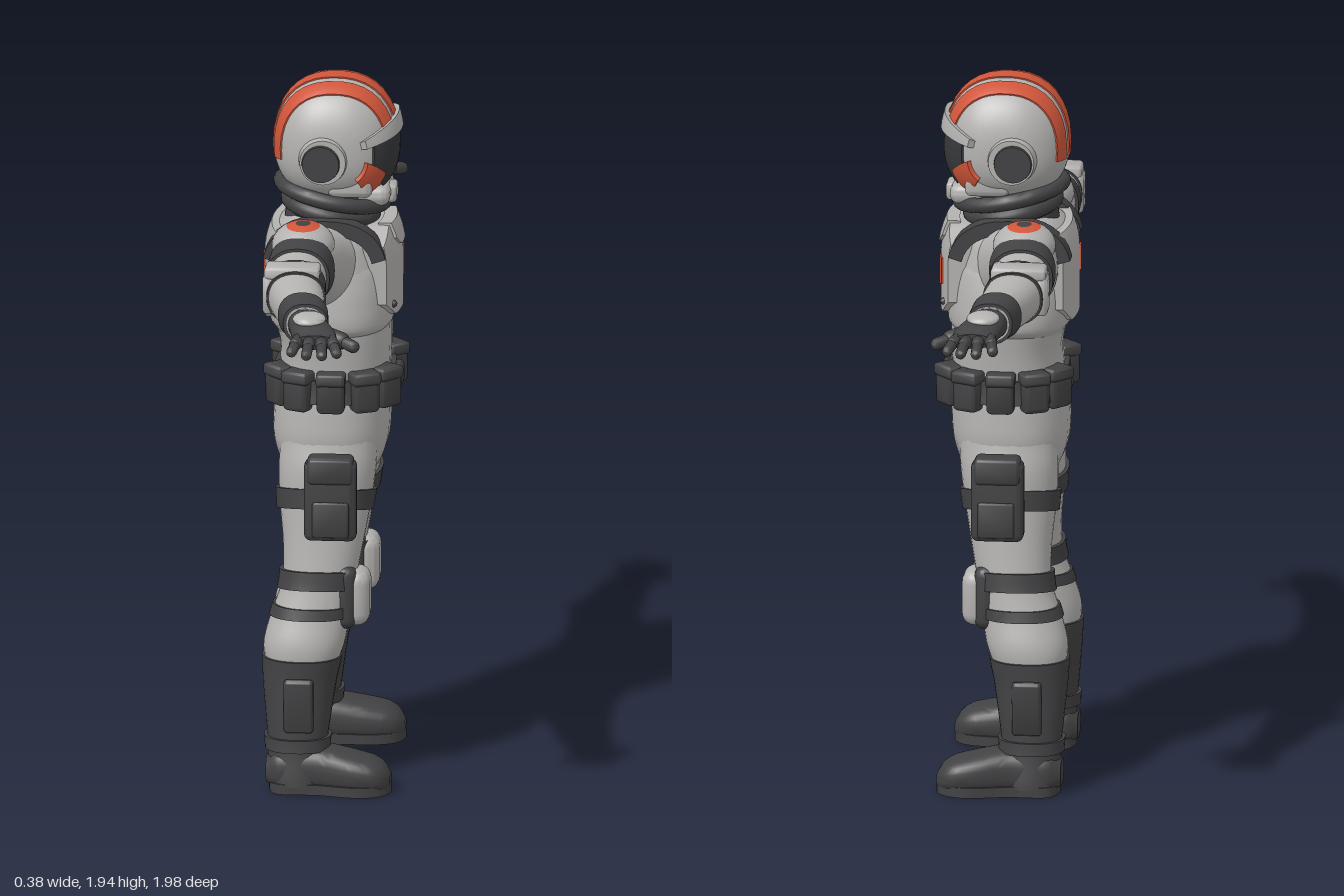
import * as THREE from 'three';
import { mergeVertices, toCreasedNormals } from 'three/addons/utils/BufferGeometryUtils.js';
import { RoundedBoxGeometry } from 'three/addons/geometries/RoundedBoxGeometry.js';

const material = (name, color) => Object.assign(new THREE.MeshStandardMaterial({ color }), { name });
const lerp = THREE.MathUtils.lerp;
const spow = (c, p) => Math.sign(c) * Math.abs(c) ** (2 / p);

// Closed skin through loops: fn(u, j) gives point j of the loop at u; ends are capped
function skin(fn, nu, n) {
  const pos = [], idx = [];
  const quad = (a, b, c, d) => idx.push(a, b, c, a, c, d);
  for (let i = 0; i <= nu; i++) for (let j = 0; j < n; j++) pos.push(...fn(i / nu, j));
  for (let i = 0; i < nu; i++) for (let j = 0; j < n; j++) {
    const k = (j + 1) % n;
    quad(i * n + j, i * n + k, (i + 1) * n + k, (i + 1) * n + j);
  }
  const e = nu * n;
  for (let j = 0; j < n / 2 - 1; j++) {
    quad(n - 1 - j, n - 2 - j, j + 1, j);
    quad(e + j, e + j + 1, e + n - 2 - j, e + n - 1 - j);
  }
  const g = new THREE.BufferGeometry();
  g.setAttribute('position', new THREE.Float32BufferAttribute(pos, 3));
  g.setIndex(idx);
  // turn the faces outward
  let vol = 0;
  const at = (i) => new THREE.Vector3().fromArray(pos, i * 3), o = at(0);
  for (let i = 0; i < idx.length; i += 3) {
    const [a, b, c] = [0, 1, 2].map((k) => at(idx[i + k]).sub(o));
    vol += a.dot(b.cross(c));
  }
  if (vol < 0) idx.reverse();
  g.setIndex(idx);
  return g;
}

// Smooth value of rows [t, c1, c2, r1, r2] at t
function sample(rows, t) {
  let i = 0;
  while (i < rows.length - 2 && t > rows[i + 1][0]) i++;
  const [a, b, c, d] = [rows[Math.max(i - 1, 0)], rows[i], rows[i + 1], rows[Math.min(i + 2, rows.length - 1)]];
  const f = THREE.MathUtils.clamp((t - b[0]) / (c[0] - b[0]), 0, 1);
  return b.map((v, k) => v + 0.5 * f * (c[k] - a[k] + f * (2 * a[k] - 5 * v + 4 * c[k] - d[k] + f * (3 * (v - c[k]) + d[k] - a[k]))));
}

// Limb or band along an axis, optionally swollen and tilted
function tube(axis, rows, t0, t1, { grow = 0, tilt = 0, p = 2.25, nu = 28 } = {}) {
  const n = 36;
  return skin((u, j) => {
    const w = (j / n) * Math.PI * 2, t = lerp(t0, t1, u), s = sample(rows, t);
    const a = s[1] + (s[3] + grow) * spow(Math.cos(w), p), b = s[2] + (s[4] + grow) * spow(Math.sin(w), p);
    const q = t + tilt * Math.sin(w);
    return axis === 'y' ? [a, q, b] : axis === 'z' ? [a, b, q] : [q, a, b];
  }, nu, n);
}

// Plate lying on surf(u, v, offset); the v limits may depend on u
function plate(surf, u0, u1, v0, v1, out, inn = -0.02) {
  const m = 16, val = (v, u) => (typeof v === 'function' ? v(u) : v);
  return skin((f, j) => {
    const u = lerp(u0, u1, f), k = j <= m ? j : 2 * m + 1 - j;
    return surf(u, lerp(val(v0, u), val(v1, u), k / m), j <= m ? out : inn);
  }, 20, 2 * m + 2);
}

function capsule(a, b, r) {
  const A = new THREE.Vector3(...a), d = new THREE.Vector3(...b).sub(A);
  const g = new THREE.CapsuleGeometry(r, d.length(), 5, 12);
  g.applyQuaternion(new THREE.Quaternion().setFromUnitVectors(new THREE.Vector3(0, 1, 0), d.clone().normalize()));
  return g.translate(...A.addScaledVector(d, 0.5).toArray());
}
const box = (x, y, z, w, h, d, r = 0.015) => new RoundedBoxGeometry(w, h, d, 3, r).translate(x, y, z);

export function createModel() {
  const root = new THREE.Group();
  root.name = 'spaceTrooper';
  const light = material('suitGrey', 0xb3b2b0), dark = material('gearDark', 0x424244);
  const orange = material('markingOrange', 0xd0553a), glass = material('visorDark', 0x37383a);

  function add(name, geo, mat, both = false) {
    for (const s of both ? [1, -1] : [1]) {
      let g = geo.clone();
      g.deleteAttribute('uv'); g.deleteAttribute('normal');
      g = mergeVertices(g, 1e-5);
      if (s < 0) { g.scale(1, 1, -1); g.setIndex(Array.from(g.index.array).reverse()); }
      // the body stands slightly off the middle of the arm span
      const p = g.attributes.position;
      for (let i = 0; i < p.count; i++) p.setZ(i, p.getZ(i) + 0.013 * (1 - Math.abs(p.getZ(i))));
      const mesh = new THREE.Mesh(toCreasedNormals(g, 0.8), mat);
      mesh.name = name;
      root.add(mesh);
    }
  }

  // Helmet
  const helm = (z, a, s) => {
    const k = Math.max(0, 1 - Math.abs(z / 0.158) ** 2.4) ** (1 / 2.4);
    return [(0.167 * k + s) * spow(Math.cos(a), 2.3), 1.745 + ((Math.sin(a) > 0 ? 0.19 : 0.15) * k + s) * spow(Math.sin(a), 2.3), z * (1 + s * 4)];
  };
  add('helmetShell', skin((u, j) => helm(-0.158 * Math.cos(Math.PI * u), (j / 48) * Math.PI * 2, 0), 40, 48), light);
  add('helmetCentreStripe', plate(helm, -0.03, 0.03, 0.42, 3.28, 0.004), orange);
  add('helmetSideStripe', plate(helm, 0.055, 0.1, 0.42, 3.28, 0.004), orange, true);
  const visorLow = (z) => -0.78 + 0.35 * (z / 0.13) ** 2;
  add('visor', plate(helm, -0.132, 0.132, visorLow, 0.22, 0.005), glass);
  add('visorBrow', plate(helm, -0.146, 0.146, 0.2, 0.42, 0.016), light);
  add('visorCornerMark', plate(helm, 0.1, 0.143, (z) => visorLow(z) - 0.5, (z) => visorLow(z) + 0.22, 0.009), orange, true);
  add('earHousing', new THREE.CylinderGeometry(0.062, 0.072, 0.06, 32).rotateX(Math.PI / 2).translate(-0.025, 1.735, 0.143), light, true);
  add('earDisc', new THREE.CylinderGeometry(0.05, 0.052, 0.012, 32).rotateX(Math.PI / 2).translate(-0.03, 1.732, 0.177), dark, true);
  add('cheek', box(0.045, 1.655, 0.115, 0.12, 0.06, 0.04, 0.018).rotateY(0), light, true);
  add('chinGuard', box(0.105, 1.618, 0, 0.09, 0.055, 0.19, 0.025), light);
  add('chinVent', box(0.14, 1.612, 0, 0.05, 0.05, 0.075, 0.012), light);

  // Neck rings
  const ring = (x, y, rx, rz, t) => new THREE.TorusGeometry(1, t, 14, 48).rotateX(Math.PI / 2)
    .scale(rx, 0.14, rz).rotateZ(-0.2).translate(x, y, 0);
  add('helmetCollar', ring(-0.01, 1.612, 0.142, 0.132, 0.15), dark);
  add('neckRing', ring(-0.015, 1.572, 0.118, 0.125, 0.17), dark);
  add('neck', new THREE.CylinderGeometry(0.115, 0.13, 0.13, 32).translate(-0.015, 1.56, 0), dark);

  // Torso
  const torso = [[0.8, -0.01, 0, 0.06, 0.04], [0.85, -0.012, 0, 0.125, 0.15], [0.93, -0.012, 0, 0.155, 0.2], [1.03, -0.008, 0, 0.158, 0.2],
    [1.12, -0.003, 0, 0.15, 0.19], [1.2, 0, 0, 0.15, 0.195], [1.28, -0.01, 0, 0.16, 0.205], [1.38, -0.015, 0, 0.172, 0.205],
    [1.46, -0.02, 0, 0.165, 0.195], [1.52, -0.02, 0, 0.145, 0.18], [1.56, -0.02, 0, 0.1, 0.13]];
  add('torso', tube('y', torso, 0.8, 1.56, { p: 2.5, nu: 40 }), light);
  const vest = [[1.24, -0.01, 0, 0.15, 0.19], [1.27, -0.01, 0, 0.168, 0.222], [1.34, -0.013, 0, 0.175, 0.218], [1.42, -0.015, 0, 0.174, 0.2], [1.49, -0.02, 0, 0.155, 0.18]];
  add('ribArmour', tube('y', vest, 1.24, 1.49, { p: 2.5 }), light);
  const front = (z, y, s) => [0.172 - 1.3 * z * z - 2.2 * Math.max(0, y - 1.44) ** 2 + s, y, z];
  add('chestPlate', plate(front, -0.16, 0.16, (z) => 1.295 + Math.max(0, Math.abs(z) - 0.1) * 0.7, (z) => 1.54 - Math.max(0, Math.abs(z) - 0.09) * 0.6, 0.008, -0.05), light);
  add('chestTopPlate', plate(front, -0.085, 0.085, (z) => 1.48 + Math.max(0, Math.abs(z) - 0.055) * 0.8, 1.545, 0.016), light);
  add('chestMark', plate(front, -0.108, -0.06, (z) => 1.36 - (z + 0.06) * 0.3, 1.445, 0.012, 0.004), orange);
  add('chestStud', new THREE.SphereGeometry(0.01, 12, 8).translate(0.163, 1.328, 0.115), dark, true);
  const back = (z, y, s) => [-0.185 + 1.0 * z * z + 3 * Math.max(0, y - 1.45) ** 2 - s, y, z];
  add('backPlate', plate(back, -0.165, 0.165, (z) => 1.28 + Math.max(0, Math.abs(z) - 0.1) * 0.7, 1.53, 0.008, -0.05), light);
  add('backMark', plate(back, 0.045, 0.07, 1.38, 1.45, 0.012, 0.004), orange);
  const over = (z, a, s) => [-0.02 + (0.162 + s) * spow(Math.cos(a), 2.4), 1.42 + (0.145 + s) * spow(Math.sin(a), 2.4), z];
  add('shoulderStrap', plate(over, 0.122, 0.178, 0.25, 2.9, 0.008, -0.03), dark, true);

  // Belt with pouches
  add('belt', tube('y', torso, 1.065, 1.13, { grow: 0.014, p: 2.5, nu: 4 }), dark);
  add('buckle', box(0.165, 1.095, 0, 0.03, 0.065, 0.11), dark);
  for (const deg of [32, 62, 90, 118, 148]) {
    const a = (deg * Math.PI) / 180, x = 0.162 * spow(Math.cos(a), 2.5), z = 0.203 * spow(Math.sin(a), 2.5);
    const turn = Math.atan2(x, z);
    add('beltPouch', box(0, 0, 0, 0.075, 0.108, 0.06).rotateY(turn).translate(x, 1.098, z), dark, true);
    add('pouchFlap', box(0, 0, 0, 0.08, 0.035, 0.066, 0.01).rotateY(turn).translate(x, 1.138, z), dark, true);
  }

  // Legs
  const leg = [[0.33, -0.08, 0.198, 0.095, 0.09], [0.4, -0.072, 0.195, 0.11, 0.096], [0.48, -0.055, 0.18, 0.106, 0.09], [0.56, -0.035, 0.165, 0.1, 0.088],
    [0.66, -0.025, 0.145, 0.108, 0.094], [0.78, -0.02, 0.12, 0.124, 0.106], [0.88, -0.015, 0.112, 0.132, 0.108], [0.97, -0.01, 0.105, 0.13, 0.095]];
  add('leg', tube('y', leg, 0.33, 0.97, { nu: 32 }), light, true);
  add('thighStrap', tube('y', leg, 0.755, 0.81, { grow: 0.01, tilt: 0.025, nu: 4 }), dark, true);
  add('holster', box(0.003, 0.815, 0.255, 0.142, 0.225, 0.065, 0.02).rotateZ(0), dark, true);
  add('holsterFlap', box(0.003, 0.9, 0.258, 0.125, 0.075, 0.072, 0.015), dark, true);
  add('holsterPocket', box(0.005, 0.765, 0.285, 0.1, 0.1, 0.02, 0.009), dark, true);
  add('kneeStrap', tube('y', leg, 0.545, 0.595, { grow: 0.01, tilt: 0.012, nu: 4 }), dark, true);
  add('lowerKneeStrap', tube('y', leg, 0.475, 0.505, { grow: 0.006, nu: 4 }), dark, true);
  add('kneeBacking', box(0.04, 0.53, 0.17, 0.06, 0.175, 0.145, 0.028), dark, true);
  add('kneePad', box(0.068, 0.525, 0.172, 0.075, 0.155, 0.122, 0.036).rotateZ(0), light, true);

  // Boots
  const boot = [[0.02, -0.085, 0.243, 0.083, 0.078], [0.12, -0.087, 0.235, 0.08, 0.074], [0.2, -0.086, 0.222, 0.088, 0.083],
    [0.3, -0.083, 0.205, 0.1, 0.095], [0.365, -0.078, 0.197, 0.108, 0.104]];
  add('bootShaft', tube('y', boot, 0.02, 0.365), dark, true);
  add('bootAnkleStrap', tube('y', boot, 0.115, 0.15, { grow: 0.009, nu: 4 }), dark, true);
  add('bootSidePanel', box(-0.08, 0.26, 0.29, 0.08, 0.15, 0.025, 0.01).rotateX(0.05), dark, true);
  const foot = [[-0.17, 0.055, 0.24, 0.035, 0.05], [-0.14, 0.06, 0.24, 0.058, 0.07], [-0.03, 0.064, 0.245, 0.062, 0.072], [0.06, 0.056, 0.255, 0.054, 0.08],
    [0.12, 0.05, 0.26, 0.045, 0.076], [0.15, 0.043, 0.26, 0.034, 0.06], [0.166, 0.035, 0.26, 0.015, 0.03]];
  add('foot', tube('x', foot, -0.17, 0.166, { p: 2.7 }), dark, true);
  const outline = new THREE.Shape(new THREE.SplineCurve([[-0.165, 0.24], [-0.14, 0.312], [-0.03, 0.318], [0.08, 0.338], [0.145, 0.315],
    [0.168, 0.26], [0.145, 0.2], [0.08, 0.176], [-0.03, 0.176], [-0.14, 0.17], [-0.165, 0.24]].map((q) => new THREE.Vector2(q[0], -q[1]))).getPoints(50));
  add('sole', new THREE.ExtrudeGeometry(outline, { depth: 0.028, bevelEnabled: false }).rotateX(-Math.PI / 2), dark, true);

  // Arms
  const arm = [[0.12, -0.03, 1.44, 0.12, 0.11], [0.22, -0.055, 1.455, 0.1, 0.112], [0.32, -0.07, 1.478, 0.083, 0.088], [0.42, -0.075, 1.474, 0.077, 0.073],
    [0.52, -0.072, 1.468, 0.077, 0.07], [0.62, -0.055, 1.463, 0.071, 0.064], [0.7, -0.038, 1.46, 0.06, 0.058], [0.77, -0.025, 1.455, 0.052, 0.048]];
  add('arm', tube('z', arm, 0.12, 0.77, { nu: 32 }), light, true);
  add('upperArmBand', tube('z', arm, 0.325, 0.4, { grow: 0.008, nu: 5 }), dark, true);
  add('elbowStrap', tube('z', arm, 0.465, 0.56, { grow: 0.005, nu: 5 }), dark, true);
  add('elbowPlate', box(-0.08, 1.528, 0.512, 0.15, 0.04, 0.082, 0.014), light, true);
  add('elbowGuard', box(-0.142, 1.47, 0.512, 0.035, 0.11, 0.082, 0.014), light, true);

  // Shoulder pads with ringed markings
  const dome = (a, b) => new THREE.SphereGeometry(1, 36, 12, 0, Math.PI * 2, a, b - a).scale(0.085, 0.062, 0.1).rotateX(0.05).translate(-0.07, 1.533, 0.265);
  add('shoulderPad', dome(0.56, Math.PI), light, true);
  add('shoulderRing', dome(0.24, 0.56), orange, true);
  add('shoulderDot', dome(0, 0.24), dark, true);

  // Gloves
  add('gloveCuff', tube('z', arm, 0.705, 0.77, { grow: 0.009, nu: 5 }), dark, true);
  const palm = [[0.75, -0.025, 1.455, 0.05, 0.045], [0.8, -0.012, 1.452, 0.055, 0.038], [0.86, 0.005, 1.447, 0.06, 0.03], [0.9, 0.01, 1.442, 0.052, 0.02]];
  add('palm', tube('z', palm, 0.75, 0.9, { nu: 14 }), dark, true);
  add('handPlate', new THREE.SphereGeometry(1, 24, 12).scale(0.045, 0.016, 0.045).rotateX(0.1).translate(-0.012, 1.484, 0.815), light, true);
  for (const [x0, x1, z1] of [[-0.035, -0.05, 0.945], [-0.005, -0.008, 0.975], [0.024, 0.034, 0.975], [0.05, 0.072, 0.95]]) {
    const mid = [lerp(x0, x1, 0.5), 1.44, lerp(0.875, z1, 0.5)];
    add('fingerBase', capsule([x0, 1.444, 0.875], mid, 0.017), dark, true);
    add('fingerTip', capsule(mid, [x1, 1.428, z1], 0.0145), dark, true);
  }
  add('thumbBase', capsule([0.015, 1.443, 0.8], [0.075, 1.428, 0.825], 0.024), dark, true);
  add('thumbTip', capsule([0.075, 1.428, 0.825], [0.11, 1.42, 0.855], 0.017), dark, true);
  return root;
}
